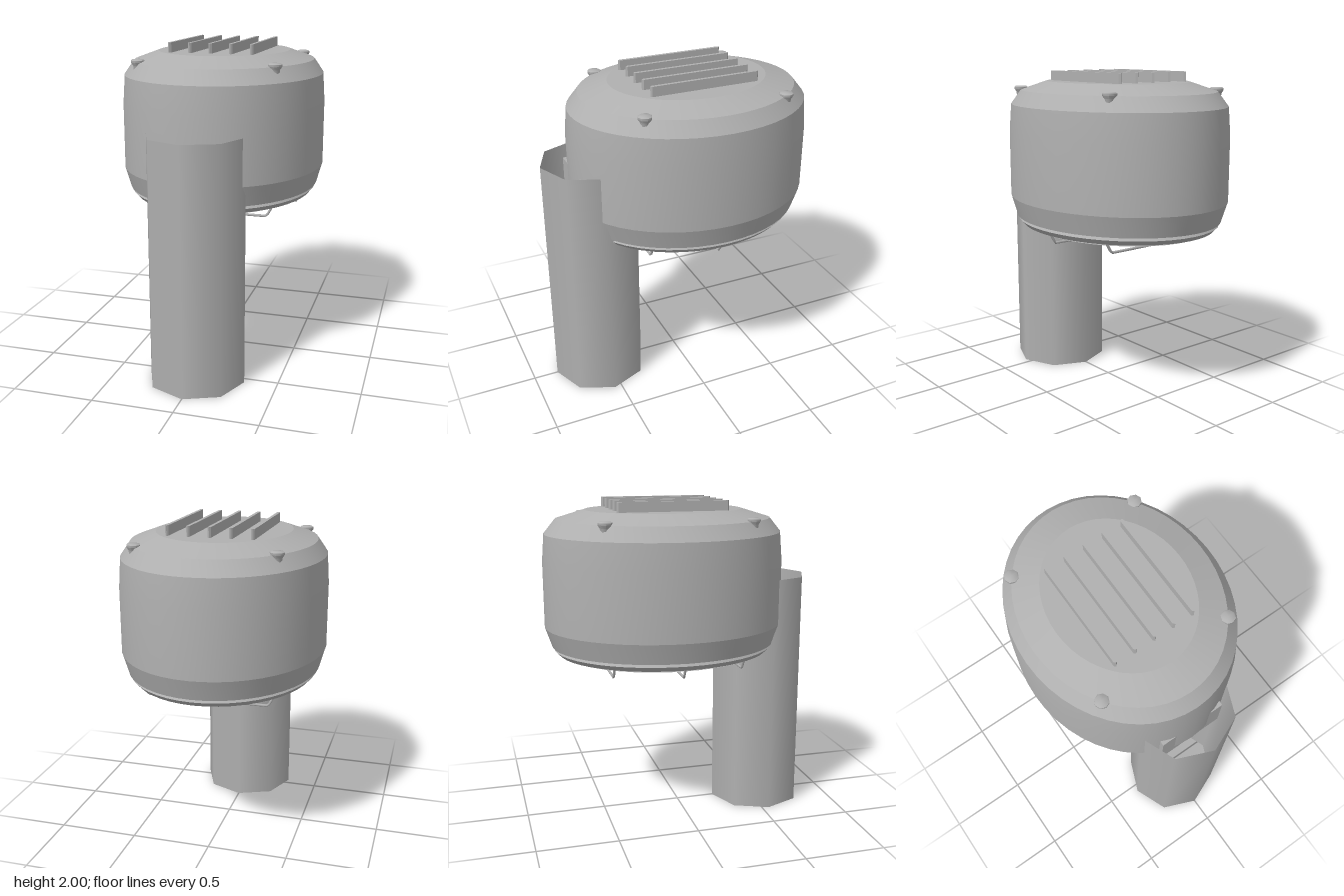
import * as THREE from 'three';
import { toCreasedNormals } from 'three/addons/utils/BufferGeometryUtils.js';

const HEAD_Z = -0.09;   // centre of the oval head
const STRETCH = 1.2;    // oval depth / width

export function createModel() {
  const group = new THREE.Group();
  const grey = new THREE.MeshStandardMaterial({ color: 0xb0b0b0 });
  grey.name = 'grey metal';
  const greyOpen = new THREE.MeshStandardMaterial({ color: 0xb0b0b0, side: THREE.DoubleSide });
  greyOpen.name = 'grey metal';

  const add = (name, geometry, material = grey, x = 0, y = 0, z = 0) => {
    const mesh = new THREE.Mesh(geometry, material);
    mesh.name = name;
    mesh.position.set(x, y, z);
    group.add(mesh);
    return mesh;
  };

  // Oval solid of revolution from [radius, height] pairs, bottom to top
  const oval = (name, profile) => {
    const lathe = new THREE.LatheGeometry(profile.map(p => new THREE.Vector2(...p)), 48);
    lathe.scale(1, 1, STRETCH);
    return add(name, toCreasedNormals(lathe, 0.22), grey, 0, 0, HEAD_Z);
  };

  // Hollow eight-sided post and the bracket joining it to the head
  add('post', new THREE.CylinderGeometry(0.3, 0.3, 1.51, 8, 1, true), greyOpen, 0, 0.755, 0.545);
  add('bracket', new THREE.BoxGeometry(0.42, 0.28, 0.4), grey, 0, 1.31, 0.445);

  // Lamp head, bottom rim and shallow lens
  oval('housing', [[0, 1.105], [0.59, 1.105], [0.625, 1.23], [0.625, 1.63], [0.613, 1.8],
    [0.555, 1.885], [0.405, 1.94], [0, 1.94]]);
  oval('rim', [[0, 1.055], [0.555, 1.055], [0.58, 1.085], [0.57, 1.1], [0.56, 1.106]]);
  oval('lens', [[0, 1.0], [0.2, 1.004], [0.38, 1.018], [0.51, 1.037], [0, 1.037]]);

  // Cooling fins with pointed ends
  const finShape = new THREE.Shape();
  [[-0.01, -0.33], [0, -0.34], [0.01, -0.33], [0.01, 0.33], [0, 0.34], [-0.01, 0.33]]
    .forEach(([x, y], i) => (i ? finShape.lineTo(x, y) : finShape.moveTo(x, y)));
  const finGeometry = new THREE.ExtrudeGeometry(finShape, { depth: 0.07, bevelEnabled: false });
  finGeometry.rotateX(-Math.PI / 2);
  for (let i = -2; i <= 2; i++) add('fin', finGeometry, grey, i * 0.126, 1.93, HEAD_Z);

  // Four bolts on the shoulder
  const bolt = toCreasedNormals(new THREE.LatheGeometry([[0.025, -0.07], [0.03, -0.03], [0.042, -0.012],
    [0.042, 0], [0.034, 0.006], [0, 0.006]].map(p => new THREE.Vector2(...p)), 8), 0.8);
  for (const x of [-0.415, 0.415])
    for (const z of [-0.53, 0.35]) add('bolt', bolt, grey, x, 1.9, z);

  // Wire guards below the lens
  for (const [dz, reach] of [[-0.4, 0.37], [0, 0.48], [0.4, 0.37]]) {
    const corners = [[-reach - 0.04, 1.065], [-reach, 0.992], [reach, 0.992], [reach + 0.04, 1.065]]
      .map(([x, y]) => new THREE.Vector3(x, y, 0));
    const path = new THREE.CurvePath();
    for (let i = 0; i < 3; i++) path.add(new THREE.LineCurve3(corners[i], corners[i + 1]));
    add('guardWire', new THREE.TubeGeometry(path, 40, 0.008, 6), grey, 0, 0, HEAD_Z + dz);
  }

  return group;
}
